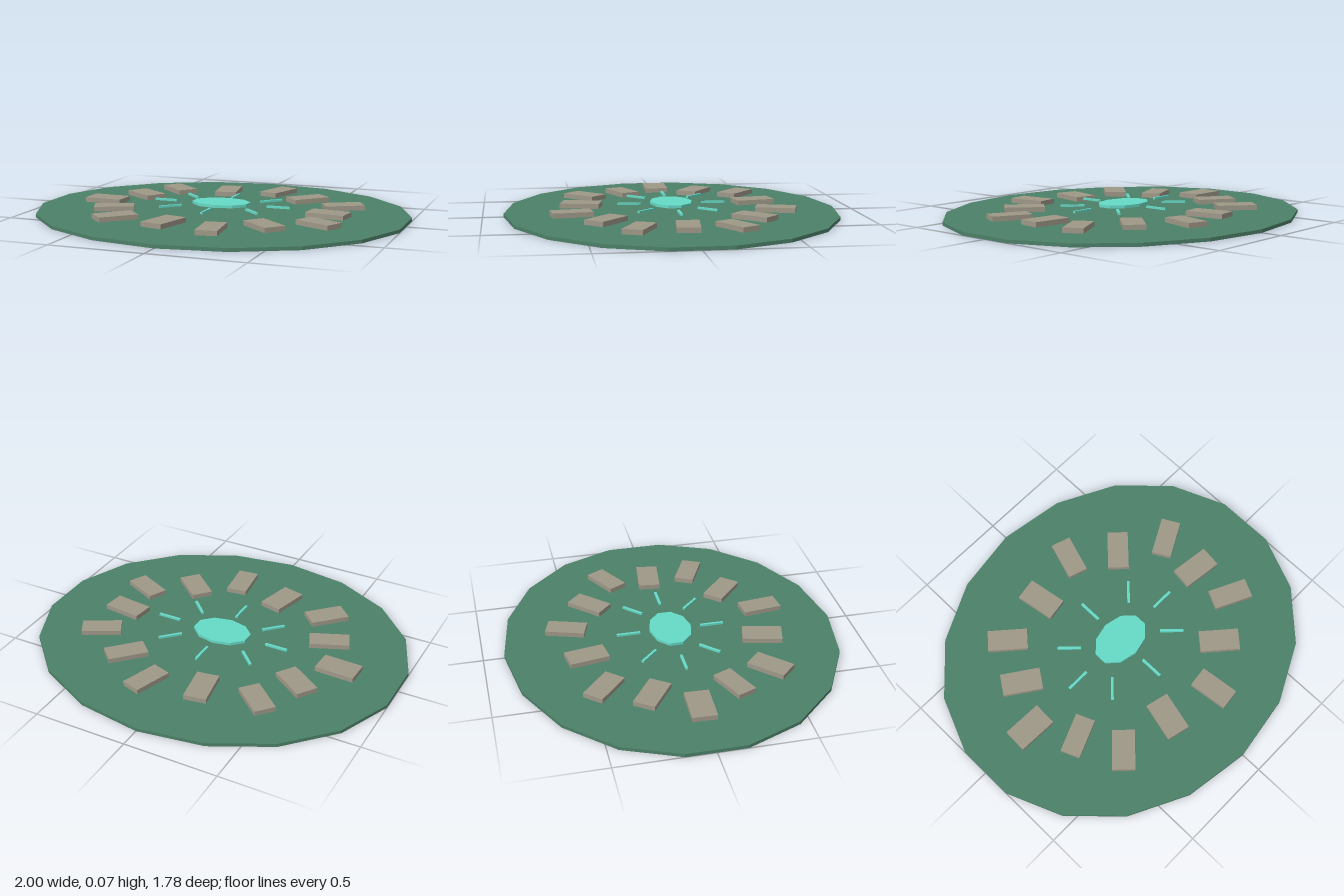
import * as THREE from 'three';

const material = (color) => new THREE.MeshStandardMaterial({ color, flatShading: true });

export function createModel() {
  const model = new THREE.Group();
  const green = material(0x4c8068);
  const stone = material(0x9e9888);
  const aqua = material(0x66d9c6);

  const add = (name, geometry, mat, x, y, z, turn = 0) => {
    const mesh = new THREE.Mesh(geometry, mat);
    mesh.name = name;
    mesh.position.set(x, y, z);
    mesh.rotation.y = -turn;
    model.add(mesh);
    return mesh;
  };

  // Oval faceted base
  const base = new THREE.CylinderGeometry(1, 1, 0.018, 18);
  base.scale(1.0154, 1, 0.89);
  add('base', base, green, 0, 0.009, 0);

  // Ring of slabs, alternately nearer and farther, each turned slightly off the radius
  const wobble = [7, 0, -10, 6, 1, 6.5, 3, 2, 9, -10, 3.5, 5, 5.5, -3];
  const widths = [0.118, 0.108, 0.116, 0.113, 0.126, 0.12, 0.106, 0.127, 0.118, 0.113, 0.12, 0.108, 0.113, 0.106];
  wobble.forEach((offset, i) => {
    const angle = (i / wobble.length) * Math.PI * 2;
    const radius = i % 2 ? 0.676 : 0.592;
    add(`slab${i + 1}`, new THREE.BoxGeometry(0.212, 0.026, widths[i]), stone,
      Math.cos(angle) * radius, 0.036, Math.sin(angle) * radius * 0.82,
      angle + THREE.MathUtils.degToRad(offset));
  });

  // Oval centre plate
  const plate = new THREE.CylinderGeometry(1, 1, 0.015, 10);
  plate.scale(0.161, 1, 0.113);
  add('centrePlate', plate, aqua, 0, 0.0585, 0);

  // Eight thin rays around the plate
  const ray = new THREE.BoxGeometry(0.126, 0.011, 0.014);
  for (let i = 0; i < 8; i++) {
    const angle = (i * Math.PI) / 4;
    add(`ray${i + 1}`, ray, aqua, Math.cos(angle) * 0.321, 0.0555, Math.sin(angle) * 0.228, angle);
  }

  return model;
}
